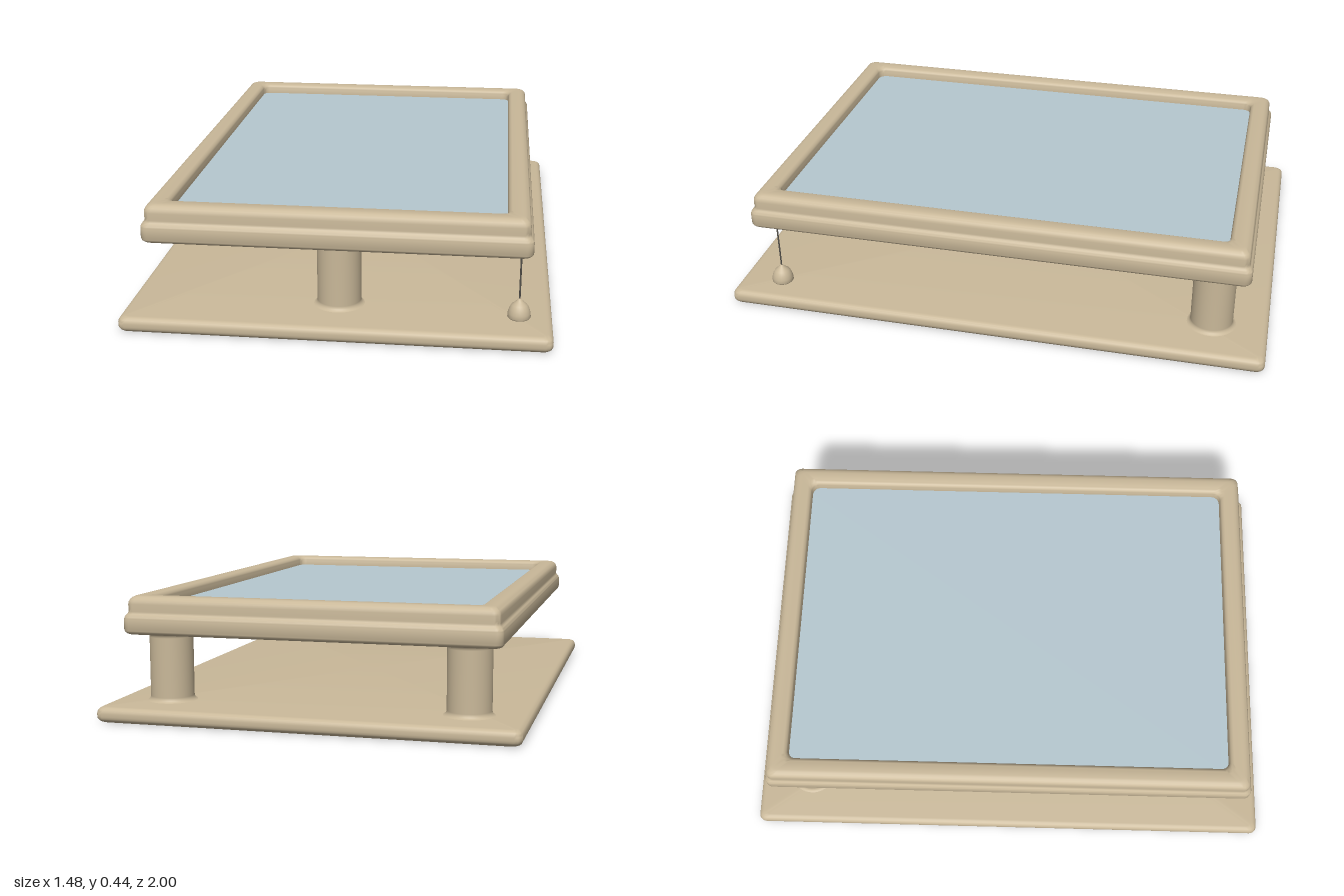
import * as THREE from 'three';
import { toCreasedNormals } from 'three/addons/utils/BufferGeometryUtils.js';

const CORNER_STEPS = 6;

// outline of a rectangle with rounded corners, running from +x towards +z
function roundedRing(halfX, halfZ, radius) {
  const points = [];
  const corners = [[1, 1], [-1, 1], [-1, -1], [1, -1]];
  corners.forEach(([sx, sz], c) => {
    for (let i = 0; i <= CORNER_STEPS; i++) {
      const a = (c + i / CORNER_STEPS) * Math.PI / 2;
      points.push([
        sx * (halfX - radius) + radius * Math.cos(a),
        sz * (halfZ - radius) + radius * Math.sin(a),
      ]);
    }
  });
  return points;
}

// sweep a profile of [halfX, y, cornerRadius] round a rectangle; halfZ = halfX + extra
function sweepRectangle(profile, extra, capEnd) {
  const pos = [], index = [];
  const n = 4 * (CORNER_STEPS + 1);
  for (const [h, y, r] of profile) {
    for (const [x, z] of roundedRing(h, h + extra, r)) pos.push(x, y, z);
  }
  for (let k = 0; k < profile.length - 1; k++) {
    for (let i = 0; i < n; i++) {
      const a = k * n + i, b = k * n + (i + 1) % n;
      index.push(a, a + n, b, b, a + n, b + n);
    }
  }
  // bottom cap, and the top cap when wanted
  const last = (profile.length - 1) * n;
  pos.push(0, profile[0][1], 0, 0, profile[profile.length - 1][1], 0);
  const bottom = profile.length * n;
  for (let i = 0; i < n; i++) {
    const j = (i + 1) % n;
    index.push(bottom, i, j);
    if (capEnd) index.push(bottom + 1, last + j, last + i);
  }
  const geometry = new THREE.BufferGeometry();
  geometry.setAttribute('position', new THREE.Float32BufferAttribute(pos, 3));
  geometry.setIndex(index);
  return toCreasedNormals(geometry, 0.7);
}

// quarter or partial round of a profile edge
function round(cx, cy, r, from, to, corner, steps = 5) {
  return Array.from({ length: steps + 1 }, (_, i) => {
    const a = THREE.MathUtils.degToRad(from + (to - from) * i / steps);
    return [cx + r * Math.cos(a), cy + r * Math.sin(a), corner];
  });
}

function lathe(points, segments) {
  const profile = points.map(([r, y]) => new THREE.Vector2(r, y));
  return new THREE.LatheGeometry(profile, segments);
}

export function createModel() {
  const group = new THREE.Group();
  const stone = new THREE.MeshStandardMaterial({ name: 'warm beige', color: 0xc9b899 });
  const glass = new THREE.MeshStandardMaterial({ name: 'pale blue glass', color: 0xb6c8d0 });
  const dark = new THREE.MeshStandardMaterial({ name: 'dark cord', color: 0x55524c });

  const add = (name, geometry, material, x = 0, y = 0, z = 0) => {
    const mesh = new THREE.Mesh(geometry, material);
    mesh.name = name;
    mesh.position.set(x, y, z);
    group.add(mesh);
  };

  // base plate with softened edges
  add('basePlate', sweepRectangle([
    ...round(0.718, 0.022, 0.022, -90, 0, 0.025),
    ...round(0.718, 0.033, 0.022, 0, 90, 0.025),
  ], 0.26, true), stone);

  // table top: lower bulge, cove, upper rim and the inner lip
  add('topFrame', sweepRectangle([
    ...round(0.645, 0.32, 0.02, -90, 0, 0.025),
    ...round(0.637, 0.352, 0.028, 0, 50, 0.025),
    [0.652, 0.381, 0.025],
    [0.653, 0.39, 0.025],
    ...round(0.625, 0.407, 0.028, 0, 90, 0.025),
    ...round(0.597, 0.413, 0.022, 90, 180, 0.03),
    [0.575, 0.39, 0.03],
  ], 0.26, false), stone);

  // recessed glass panel
  const outline = roundedRing(0.577, 0.837, 0.03).map(([x, z]) => new THREE.Vector2(x, z));
  const panel = new THREE.ExtrudeGeometry(new THREE.Shape(outline), { depth: 0.008, bevelEnabled: false });
  panel.rotateX(-Math.PI / 2);
  add('glassPanel', panel, glass, 0, 0.387, 0);

  // three round legs with fillets at both ends
  const fillet = 0.018, r = 0.077;
  const legProfile = [];
  for (let i = 0; i <= 5; i++) {
    const a = i / 5 * Math.PI / 2;
    legProfile.push([r + fillet * (1 - Math.sin(a)), 0.054 + fillet * (1 - Math.cos(a))]);
  }
  for (let i = 5; i >= 0; i--) legProfile.push([legProfile[i][0], 0.356 - legProfile[i][1]]);
  const legGeometry = lathe(legProfile, 40);
  add('frontLeg', legGeometry, stone, 0, 0, 0.78);
  add('backLeftLeg', legGeometry, stone, 0.537, 0, -0.795);
  add('backRightLeg', legGeometry, stone, -0.537, 0, -0.795);

  // hanging cord and its bell-shaped pull
  add('cord', new THREE.CylinderGeometry(0.003, 0.003, 0.19, 8), dark, 0.626, 0.21, 0.837);
  add('cordPull', lathe([
    [0, 0.056], [0.036, 0.056], [0.04, 0.061], [0.039, 0.075], [0.035, 0.09],
    [0.027, 0.104], [0.018, 0.111], [0.01, 0.119], [0.004, 0.126], [0, 0.127],
  ], 24), stone, 0.626, 0, 0.837);

  return group;
}
